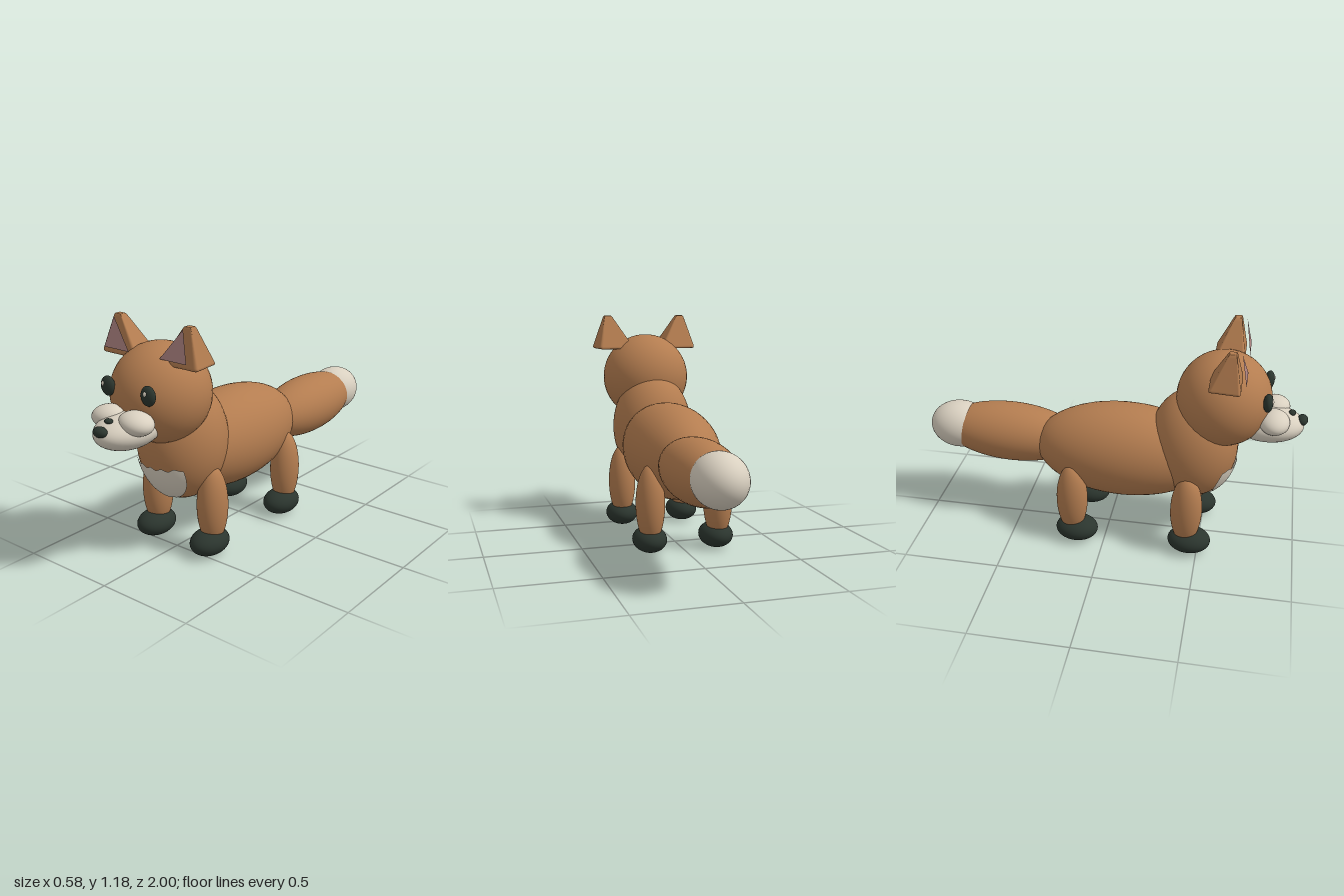
import * as THREE from 'three';
import { mergeVertices } from 'three/addons/utils/BufferGeometryUtils.js';
import { RoundedBoxGeometry } from 'three/addons/geometries/RoundedBoxGeometry.js';

const mat = (name, color, side = THREE.FrontSide) => {
  const m = new THREE.MeshStandardMaterial({ color, side });
  m.name = name;
  return m;
};

const CHEST = { c: [0, 0.56, 0.44], r: [0.22, 0.3, 0.23] };

// Tapered ear: a rounded box squeezed towards an off-centre tip
function earGeometry(side) {
  const box = new RoundedBoxGeometry(1, 1, 1, 3, 0.09);
  box.deleteAttribute('uv');
  box.deleteAttribute('normal');
  const geo = mergeVertices(box, 1e-4);
  const p = geo.attributes.position;
  const lerp = THREE.MathUtils.lerp;
  for (let i = 0; i < p.count; i++) {
    const t = p.getY(i) + 0.5;
    const halfX = lerp(0.109 + 0.018 * p.getZ(i), 0.02, t);
    const halfZ = lerp(0.08, 0.018, t);
    const x = lerp(0.18, 0.214, t) + p.getX(i) * side * 2 * halfX;
    const z = lerp(0.588, 0.615, t) + p.getZ(i) * 2 * halfZ;
    p.setXYZ(i, side * x, 0.995 + 0.187 * t, z);
  }
  geo.computeVertexNormals();
  return geo;
}

// Flat triangle standing in front of the ear
function innerEarGeometry(side) {
  const pts = [[0.253, 1.03, 0.688], [0.095, 1.03, 0.688], [0.212, 1.175, 0.658]];
  if (side > 0) [pts[0], pts[1]] = [pts[1], pts[0]];
  const geo = new THREE.BufferGeometry();
  geo.setAttribute('position', new THREE.Float32BufferAttribute(
    pts.flatMap(([x, y, z]) => [side * x, y, z]), 3));
  geo.computeVertexNormals();
  return geo;
}

// Bib: a patch that follows the front of the chest, slightly raised
function bibGeometry() {
  const geo = new THREE.PlaneGeometry(2, 1, 32, 24);
  const p = geo.attributes.position;
  const { c, r } = CHEST;
  for (let i = 0; i < p.count; i++) {
    const u = p.getX(i), v = p.getY(i) + 0.5;
    const top = 0.477 + 0.006 * Math.cos(u * 16) + 0.006 * u * u;
    const y = 0.287 + (top - 0.287) * v;
    const x = u * 0.15 * Math.sqrt(Math.max(0, 1 - ((0.46 - y) / 0.175) ** 2));
    const d = Math.sqrt(Math.max(0, 1 - (x / r[0]) ** 2 - ((y - c[1]) / r[1]) ** 2));
    p.setXYZ(i, x, y, c[2] + r[2] * d + 0.008 + 0.007 * (1 - u * u) * (1 - v));
  }
  geo.computeVertexNormals();
  return geo;
}

export function createModel() {
  const fox = new THREE.Group();
  fox.name = 'fox';
  const fur = mat('fur', 0xb47d50);
  const cream = mat('cream', 0xd9d0c0);
  const creamPatch = mat('creamPatch', 0xd9d0c0, THREE.DoubleSide);
  const dark = mat('dark', 0x2b352e);
  const pink = mat('pink', 0xae8482, THREE.DoubleSide);

  const add = (name, geo, material) => {
    const m = new THREE.Mesh(geo, material);
    m.name = name;
    fox.add(m);
    return m;
  };
  const sphere = new THREE.SphereGeometry(1, 40, 28);
  const blob = (name, material, c, r) => {
    const m = add(name, sphere, material);
    m.position.set(...c);
    m.scale.set(...r);
    return m;
  };

  // Body
  blob('body', fur, [0, 0.48, 0.08], [0.235, 0.25, 0.475]);
  blob('chest', fur, CHEST.c, CHEST.r);
  blob('head', fur, [0, 0.834, 0.58], [0.242, 0.241, 0.238]);
  add('bib', bibGeometry(), creamPatch);

  // Tail, slightly off to one side
  const tail = blob('tail', fur, [0.053, 0.487, -0.55], [0.162, 0.157, 0.38]);
  tail.rotation.x = 0.03;
  blob('tailTip', cream, [0.053, 0.503, -0.84], [0.128, 0.128, 0.16]);

  // Muzzle and nose
  blob('muzzle', cream, [0, 0.714, 0.805], [0.13, 0.086, 0.18]);
  blob('nose', dark, [0, 0.747, 0.973], [0.038, 0.025, 0.027]);
  blob('noseBridge', dark, [0, 0.783, 0.92], [0.022, 0.012, 0.018]);

  for (const side of [-1, 1]) {
    const label = side > 0 ? 'left' : 'right';

    // Face
    const cheek = blob(label + 'Cheek', cream, [side * 0.085, 0.768, 0.835], [0.087, 0.053, 0.075]);
    cheek.rotation.z = -side * 0.12;
    blob(label + 'Eye', dark, [side * 0.125, 0.891, 0.796], [0.04, 0.047, 0.024]);
    blob(label + 'EyeGlint', cream, [side * 0.131 - 0.006, 0.904, 0.816], [0.009, 0.012, 0.007]);

    // Ears
    add(label + 'Ear', earGeometry(side), fur);
    add(label + 'InnerEar', innerEarGeometry(side), pink);

    // Legs and paws
    for (const [end, legZ, pawZ] of [['Front', 0.435, 0.457], ['Back', -0.168, -0.145]]) {
      blob(label + end + 'Leg', fur, [side * 0.18, 0.253, legZ], [0.074, 0.204, 0.082]);
      blob(label + end + 'Paw', dark, [side * 0.178, 0.067, pawZ], [0.087, 0.066, 0.112]);
    }
  }
  return fox;
}
